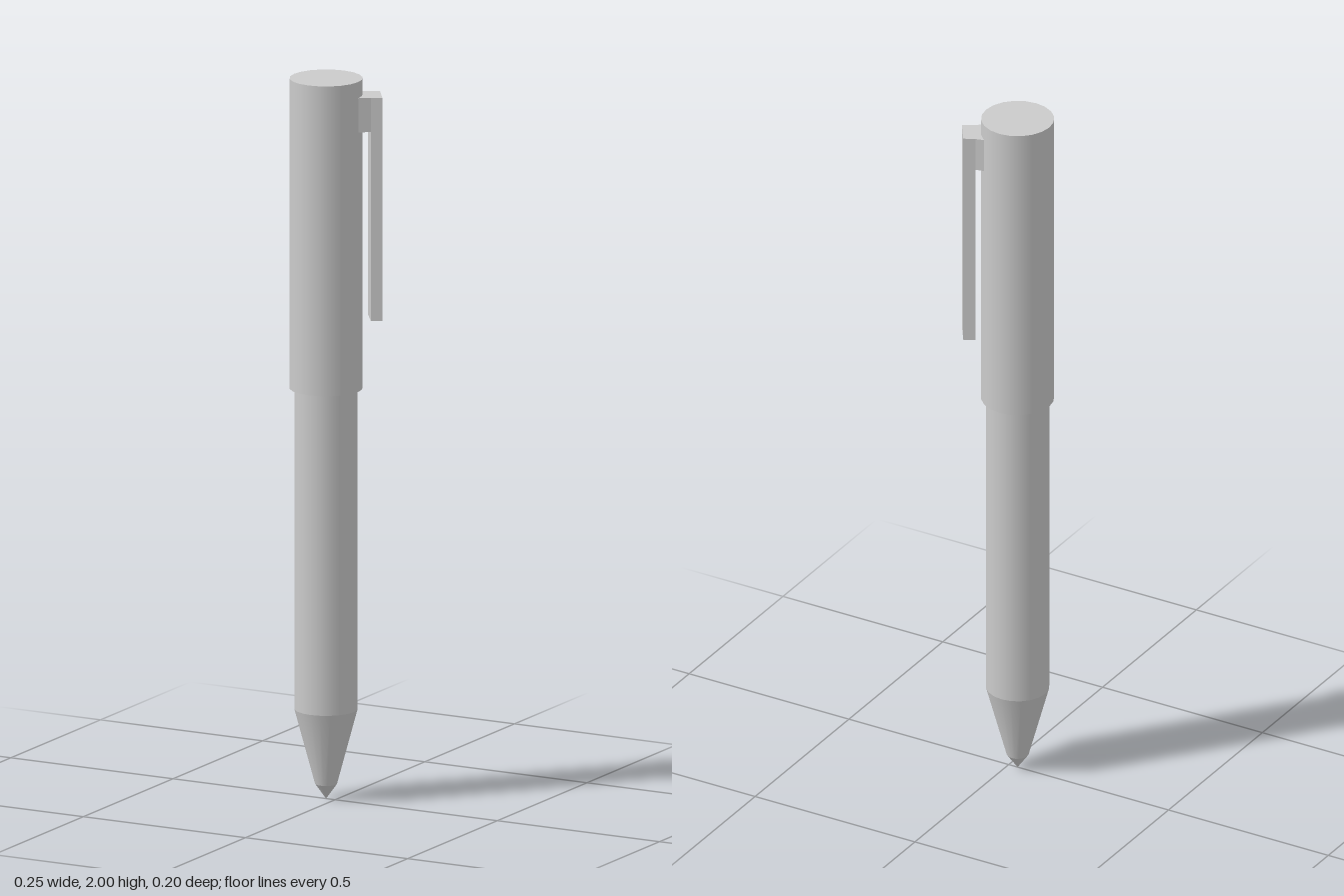
import * as THREE from 'three';

const SIDES = 20;
const AXIS_X = -0.028; // the barrel sits off-centre to balance the clip

export function createModel() {
  const group = new THREE.Group();
  const material = new THREE.MeshStandardMaterial({ color: 0xcccccc });

  function add(name, geometry) {
    const mesh = new THREE.Mesh(geometry, material);
    mesh.name = name;
    group.add(mesh);
    return mesh;
  }

  // Round section of the pen between two heights
  function section(name, y0, y1, r0, r1, open) {
    const geometry = new THREE.CylinderGeometry(r1, r0, y1 - y0, SIDES, 1, open);
    add(name, geometry).position.set(AXIS_X, (y0 + y1) / 2, 0);
  }

  // Upright prism from an outline of [x, z] corners
  function prism(name, corners, y0, y1) {
    const shape = new THREE.Shape(corners.map(([x, z]) => new THREE.Vector2(x, -z)));
    const geometry = new THREE.ExtrudeGeometry(shape, { depth: y1 - y0, bevelEnabled: false });
    geometry.rotateX(-Math.PI / 2);
    add(name, geometry).position.y = y0;
  }

  // Writing end, barrel and cap
  section('point', 0, 0.042, 0, 0.03, true);
  section('taperedTip', 0.042, 0.25, 0.03, 0.086, true);
  section('barrel', 0.25, 1.15, 0.086, 0.086, true);
  section('cap', 1.14, 2, 0.099, 0.099, false);

  // Clip: a long flat bar held by a short flared block at the top
  const innerA = [0.098, -0.022], innerB = [0.054, -0.086];
  prism('clipBar', [innerA, [0.125, -0.037], [0.083, -0.101], innerB], 1.335, 1.955);
  prism('clipMount', [[0.07, 0], innerA, innerB, [0.031, -0.08]], 1.86, 1.955);

  return group;
}
